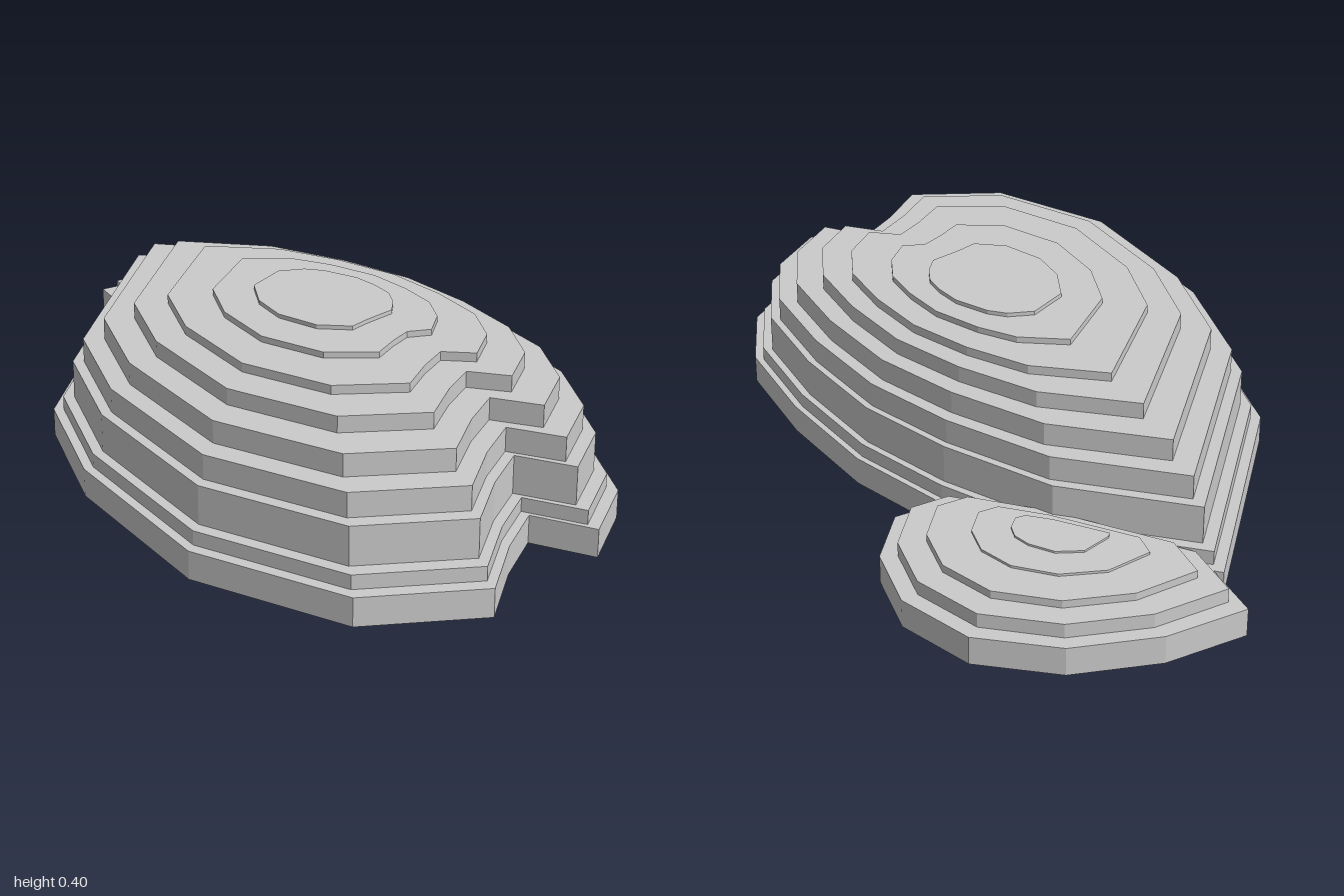
import * as THREE from 'three';

const material = new THREE.MeshStandardMaterial({ color: 0xcccccc, flatShading: true });

// Each corner pairs the base outline with the summit outline: [baseX, baseZ, topX, topZ]
const mainCorners = [
  [0.04, -0.86, 0.01, -0.10], [-0.49, -0.38, -0.10, -0.06], [-0.63, -0.04, -0.155, 0.03],
  [-0.69, 0.45, -0.175, 0.13], [-0.55, 0.84, -0.15, 0.24], [-0.29, 1.0, -0.09, 0.30],
  [-0.13, 0.88, -0.04, 0.29], [0.01, 0.80, 0.0, 0.285], [0.08, 0.95, 0.05, 0.28],
  [0.26, 0.84, 0.09, 0.24], [0.38, 0.64, 0.12, 0.19], [0.43, 0.35, 0.13, 0.13],
  [0.44, 0.04, 0.13, 0.06], [0.39, -0.24, 0.10, -0.03], [0.28, -0.56, 0.07, -0.07],
];
const lobeCorners = [
  [0.09, -1.0, 0.22, -0.67], [0.30, -0.975, 0.30, -0.685], [0.50, -0.885, 0.355, -0.65],
  [0.645, -0.73, 0.385, -0.59], [0.685, -0.53, 0.39, -0.545], [0.63, -0.355, 0.375, -0.51],
  [0.51, -0.235, 0.345, -0.485], [0.40, -0.245, 0.32, -0.49], [0.25, -0.45, 0.28, -0.54],
  [0.05, -0.82, 0.21, -0.66],
];

// Terraces as [blend from base to summit outline, height of the upper face]
const mainSteps = [
  [0, 0.07], [0.05, 0.105], [0.105, 0.2], [0.16, 0.26], [0.265, 0.315],
  [0.415, 0.355], [0.58, 0.377], [0.8, 0.392], [1, 0.402],
];
const lobeSteps = [[0, 0.07], [0.14, 0.105], [0.36, 0.124], [0.7, 0.13], [1, 0.135]];

// Stack of straight-sided slabs, each standing on the one below
function terracedHill(name, corners, steps) {
  const hill = new THREE.Group();
  hill.name = name;
  let floor = 0;
  steps.forEach(([t, top], i) => {
    const outline = corners.map(([bx, bz, tx, tz]) => new THREE.Vector2(
      THREE.MathUtils.lerp(bx, tx, t), -THREE.MathUtils.lerp(bz, tz, t)));
    const geometry = new THREE.ExtrudeGeometry(new THREE.Shape(outline), {
      depth: top - floor, bevelEnabled: false,
    });
    geometry.rotateX(-Math.PI / 2);
    geometry.translate(0, floor, 0);
    const slab = new THREE.Mesh(geometry, material);
    slab.name = `${name}Terrace${i + 1}`;
    hill.add(slab);
    floor = top;
  });
  return hill;
}

export function createModel() {
  const model = new THREE.Group();
  model.name = 'terracedMound';
  model.add(terracedHill('mainHill', mainCorners, mainSteps));
  model.add(terracedHill('sideHill', lobeCorners, lobeSteps));
  return model;
}
